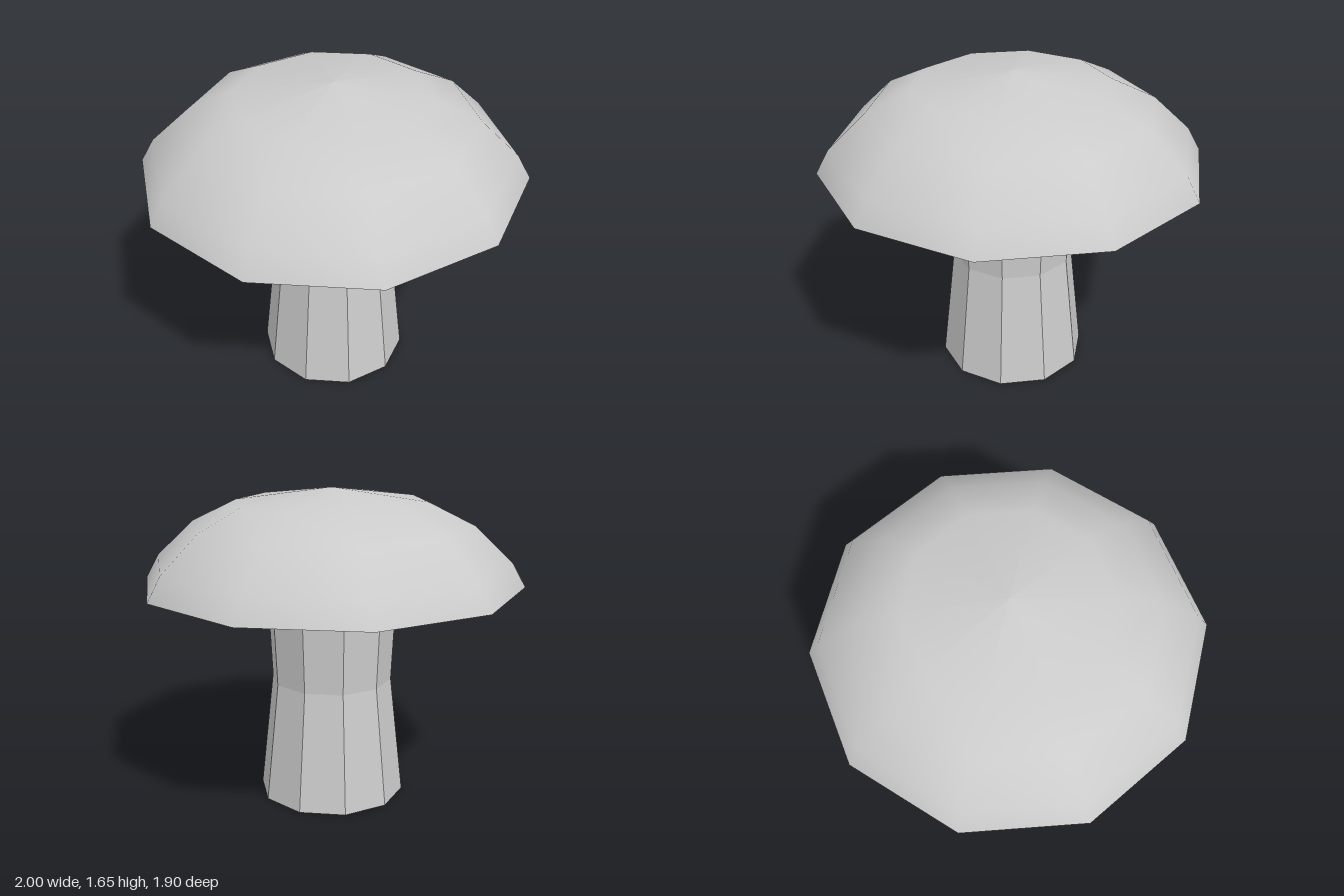
import * as THREE from 'three';

const SIDES = 10;
const RIM_Y = 1.155;

// Ten-sided revolved surface with corners on the x axis
function revolve(profile) {
  const points = profile.map(([r, y]) => new THREE.Vector2(r, y));
  return new THREE.LatheGeometry(points, SIDES, Math.PI / 2);
}

function addPart(group, name, geometry, options = {}) {
  const material = new THREE.MeshStandardMaterial({ color: 0xcccccc, ...options });
  const mesh = new THREE.Mesh(geometry, material);
  mesh.name = name;
  group.add(mesh);
  return mesh;
}

export function createModel() {
  const group = new THREE.Group();
  group.name = 'mushroom';

  // Faceted stem: waisted tube, open at the foot
  addPart(group, 'stem', revolve([[0.39, 0], [0.32, 0.635], [0.345, RIM_Y]]), {
    flatShading: true,
    side: THREE.DoubleSide,
  });

  // Smooth domed cap
  addPart(group, 'cap', revolve([[1, RIM_Y], [0.93, 1.28], [0.735, 1.465], [0.5, 1.58], [0, 1.65]]));

  // Flat underside of the cap, facing down
  const underside = new THREE.CircleGeometry(1, SIDES);
  underside.rotateX(Math.PI / 2);
  underside.translate(0, RIM_Y, 0);
  addPart(group, 'capUnderside', underside);

  return group;
}
